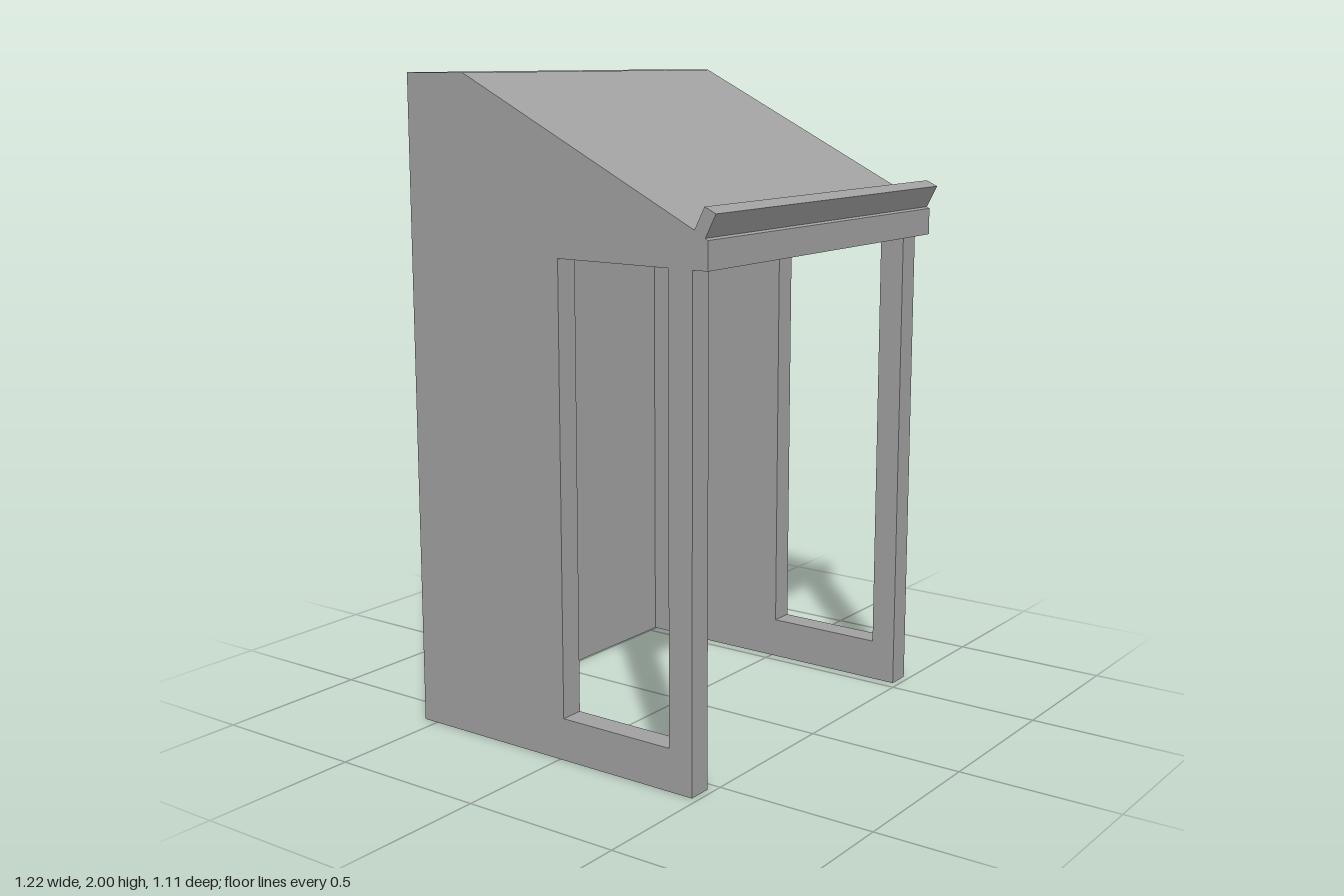
import * as THREE from 'three';

const HALF = 0.61;   // half of the overall width
const INNER = 0.535; // inner face of the side walls

export function createModel() {
  const grey = new THREE.MeshStandardMaterial({ color: 0xa0a0a0, side: THREE.DoubleSide });
  grey.name = 'plain grey';
  const model = new THREE.Group();
  model.name = 'lectern';

  const add = (parent, name, geometry) => {
    const mesh = new THREE.Mesh(geometry, grey);
    mesh.name = name;
    parent.add(mesh);
    return mesh;
  };

  // Box standing on y = 0; side walls are hollow and open underneath
  const box = (x0, x1, y1, z0, z1, open) => {
    const g = new THREE.BoxGeometry(x1 - x0, y1, z1 - z0);
    if (open) {
      const index = Array.from(g.index.array);
      index.splice(18, 6); // bottom face
      g.setIndex(index);
      g.clearGroups();
    }
    return g.translate((x0 + x1) / 2, y1 / 2, (z0 + z1) / 2);
  };

  // Profile of [z, y] points swept across the full width
  const sweep = (points) => {
    const shape = new THREE.Shape(points.map(([z, y]) => new THREE.Vector2(-z, y)));
    return new THREE.ExtrudeGeometry(shape, { depth: HALF * 2, bevelEnabled: false })
      .rotateY(Math.PI / 2)
      .translate(-HALF, 0, 0);
  };

  // Side walls, each with a tall window between front post and back slab
  for (const [side, name] of [[1, 'leftWall'], [-1, 'rightWall']]) {
    const wall = new THREE.Group();
    wall.name = name;
    const x0 = side > 0 ? INNER : -HALF;
    const x1 = side > 0 ? HALF : -INNER;
    add(wall, 'frontPost', box(x0, x1, 1.49, 0.4, 0.48, true));
    add(wall, 'windowSill', box(x0, x1, 0.13, 0.015, 0.4, true));
    add(wall, 'backSlab', box(x0, x1, 1.49, -0.55, 0.015, true));
    model.add(wall);
  }

  // Recessed back panel
  add(model, 'backPanel', box(-INNER, INNER, 1.49, -0.515, -0.505, false));

  // Sloping desk top with its front fascia
  add(model, 'deskTop', sweep([
    [0.53, 1.49], [0.53, 1.572], [0.485, 1.597], [-0.33, 2], [-0.55, 2], [-0.55, 1.49],
  ]));

  // Tilted ledge that stops papers sliding off
  add(model, 'paperLedge', sweep([
    [0.52, 1.575], [0.555, 1.643], [0.518, 1.66], [0.485, 1.596],
  ]));

  return model;
}
